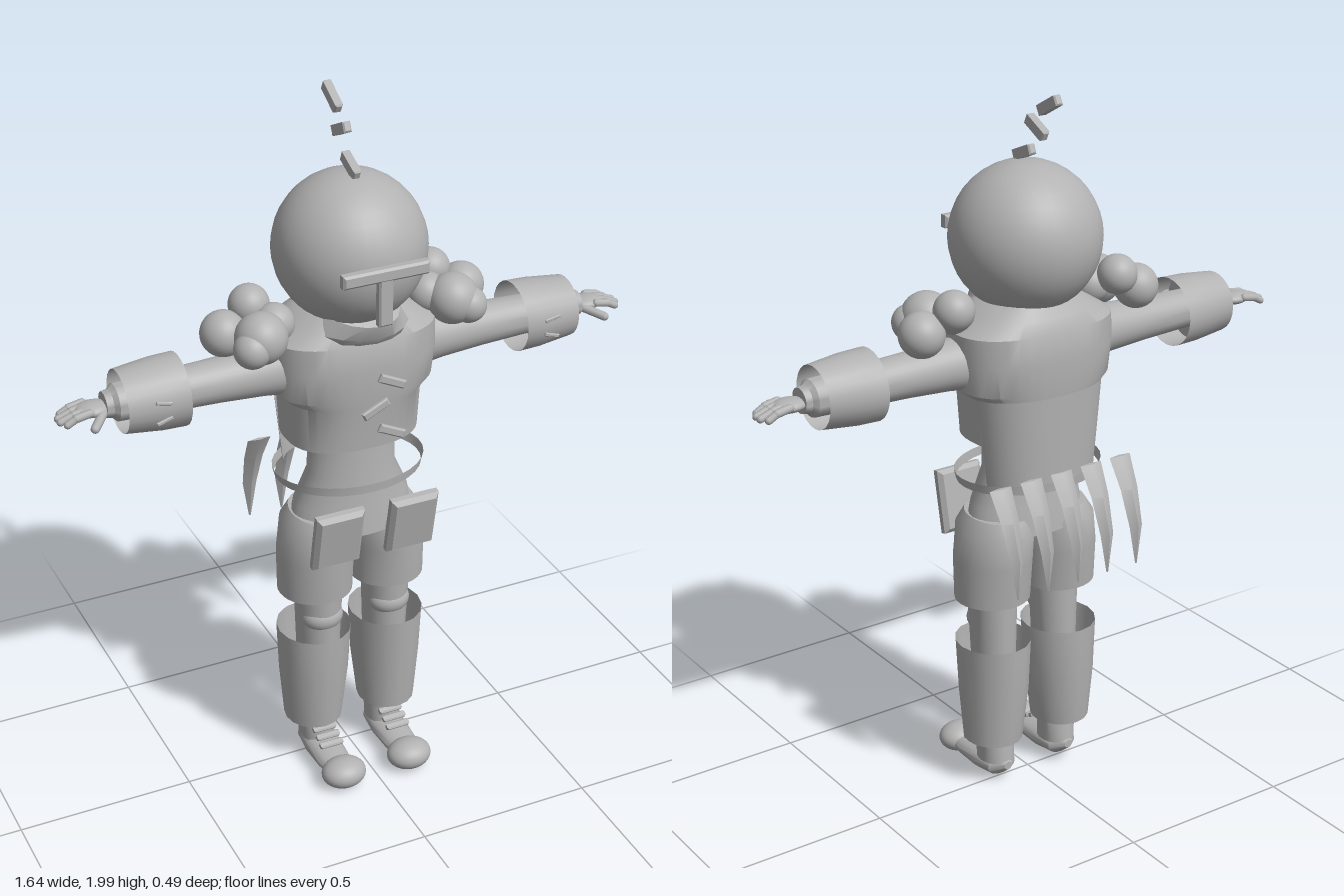
import * as THREE from 'three';
import { toCreasedNormals } from 'three/addons/utils/BufferGeometryUtils.js';

const grey = new THREE.MeshStandardMaterial({ color: 0xb2b2b2, side: THREE.DoubleSide });
grey.name = 'plain grey';

function add(parent, name, geometry, pos = [0, 0, 0], rot = [0, 0, 0], scale = [1, 1, 1]) {
  const m = new THREE.Mesh(geometry, grey);
  m.name = name;
  m.position.set(...pos);
  m.rotation.set(...rot);
  m.scale.set(...scale);
  parent.add(m);
  return m;
}

const ball = (parent, name, r, pos, scale) =>
  add(parent, name, new THREE.SphereGeometry(r, 32, 20), pos, [0, 0, 0], scale);

// Stacked rounded sections, listed bottom to top as [y, rx, rz, cx, cz]
function loft(rings, { n = 32, power = 2, from = 0, sweep = Math.PI * 2, caps = true } = {}) {
  const pts = [], idx = [];
  const bend = (v) => Math.sign(v) * Math.abs(v) ** (2 / power);
  for (const [y, rx, rz, cx = 0, cz = 0] of rings)
    for (let i = 0; i <= n; i++) {
      const a = from + (sweep * i) / n;
      pts.push(cx + rx * bend(Math.sin(a)), y, cz + rz * bend(Math.cos(a)));
    }
  const w = n + 1;
  for (let r = 0; r < rings.length - 1; r++)
    for (let i = 0; i < n; i++) {
      const a = r * w + i, b = a + 1, c = a + w, d = c + 1;
      idx.push(a, b, d, a, d, c);
    }
  if (caps)
    for (const [r, flip] of [[0, true], [rings.length - 1, false]]) {
      const [y, , , cx = 0, cz = 0] = rings[r], centre = pts.length / 3;
      pts.push(cx, y, cz);
      for (let i = 0; i < n; i++) {
        const a = r * w + i;
        idx.push(centre, ...(flip ? [a + 1, a] : [a, a + 1]));
      }
    }
  const g = new THREE.BufferGeometry();
  g.setAttribute('position', new THREE.Float32BufferAttribute(pts, 3));
  g.setIndex(idx);
  return toCreasedNormals(g, 0.6);
}

// Box with a bevelled edge, centred
function bevelBox(w, h, d, b) {
  const s = new THREE.Shape();
  const x = w / 2 - b, y = h / 2 - b;
  s.moveTo(-x, -y).lineTo(x, -y).lineTo(x, y).lineTo(-x, y).closePath();
  const g = new THREE.ExtrudeGeometry(s, {
    depth: d - 2 * b, bevelSize: b, bevelThickness: b, bevelSegments: 1,
  });
  return g.translate(0, 0, -d / 2 + b);
}

// Round rod between two points
function rod(parent, name, a, b, r) {
  const p = new THREE.Vector3(...a), q = new THREE.Vector3(...b), dir = q.clone().sub(p);
  const m = add(parent, name, new THREE.CapsuleGeometry(r, dir.length(), 4, 10));
  m.position.copy(p).lerp(q, 0.5);
  m.quaternion.setFromUnitVectors(new THREE.Vector3(0, 1, 0), dir.normalize());
}

function buildHead(root) {
  const head = new THREE.Group();
  head.name = 'head';
  root.add(head);
  ball(head, 'helmet', 0.205, [0, 1.595, 0.01]);
  add(head, 'visorBar', bevelBox(0.24, 0.036, 0.03, 0.006), [0, 1.603, 0.22]);
  add(head, 'visorStem', bevelBox(0.04, 0.14, 0.026, 0.005), [0, 1.53, 0.219]);
  // chin guard wraps around the jaw
  add(head, 'chinGuard', loft([[1.385, 0.14, 0.15, 0, 0.025], [1.405, 0.145, 0.165, 0, 0.025],
    [1.445, 0.11, 0.175, 0, 0.025]], { n: 10, from: -1.6, sweep: 3.2, caps: false }));
  // zigzag antenna in three pieces
  for (const [y0, z0, y1, z1] of [[1.803, 0.055, 1.835, -0.022], [1.915, -0.002, 1.878, -0.078],
    [1.942, -0.055, 1.986, -0.135]])
    add(head, 'antennaPiece', bevelBox(0.022, 0.028, Math.hypot(y1 - y0, z1 - z0), 0.004),
      [0, (y0 + y1) / 2, (z0 + z1) / 2], [-Math.atan2(y0 - y1, z0 - z1), 0, 0]);
}

function buildTorso(root) {
  add(root, 'vest', loft([[1.06, 0.185, 0.145], [1.19, 0.192, 0.155], [1.215, 0.225, 0.158],
    [1.3, 0.237, 0.16], [1.375, 0.235, 0.155], [1.41, 0.18, 0.135], [1.46, 0.1, 0.1]],
  { n: 40, power: 2.5 }));
  add(root, 'vestBack', loft([[0.94, 0.172, 0.155], [1.06, 0.185, 0.158], [1.2, 0.2, 0.16]],
    { n: 20, power: 2.5, from: Math.PI / 2 + 0.25, sweep: Math.PI - 0.5, caps: false }));
  add(root, 'waist', loft([[0.78, 0.18, 0.115, 0, 0.015], [0.86, 0.165, 0.108, 0, 0.015],
    [0.95, 0.125, 0.095, 0, 0.018], [1.08, 0.12, 0.09, 0, 0.02]]));
  add(root, 'belt', loft([[0.934, 0.208, 0.163], [0.96, 0.215, 0.165]], { caps: false }));
  for (const [x, y, tilt] of [[0.028, 1.287, -0.45], [-0.018, 1.215, 0.45], [0.028, 1.14, -0.45]])
    add(root, 'chestTab', bevelBox(0.08, 0.024, 0.014, 0.004), [x, y, 0.21], [0, 0, tilt]);
  // pointed coat tails along the back of the belt
  for (let i = -2; i <= 2; i++)
    add(root, 'coatTail', loft([[0.69, 0.003, 0.003, 0, -0.236], [0.8, 0.021, 0.014, 0, -0.232],
      [0.9, 0.028, 0.014, 0, -0.199], [0.98, 0.034, 0.006, 0, -0.155]], { n: 4 }), [i * 0.098, 0, 0]);
}

function buildArm(side) {
  const arm = new THREE.Group();
  arm.name = side + 'Arm';
  // a loft laid on its side, so its height runs along x
  const along = (name, rings, opts) =>
    add(arm, name, loft(rings, opts), [0, 1.287, 0.012], [0, 0, -Math.PI / 2]);
  along('sleeve', [[0.18, 0.078, 0.075], [0.26, 0.068, 0.066], [0.38, 0.06, 0.06], [0.66, 0.05, 0.05]]);
  along('cuff', [[0.485, 0.098, 0.1], [0.55, 0.096, 0.098], [0.65, 0.085, 0.085]], { n: 24, caps: false });
  along('cuffWall', [[0.56, 0.05, 0.05], [0.561, 0.094, 0.096]], { n: 24, caps: false });
  along('wrist', [[0.645, 0.046, 0.046], [0.66, 0.05, 0.05], [0.672, 0.038, 0.038], [0.69, 0.034, 0.036]]);
  for (const a of [0.2, -0.3])
    add(arm, 'cuffStitch', bevelBox(0.045, 0.01, 0.008, 0.002), [0.56, 1.287 + a * 0.1, 0.108], [0, 0, a]);
  // hand
  ball(arm, 'palm', 0.04, [0.72, 1.283, 0.012], [1.2, 0.45, 0.95]);
  for (let i = 0; i < 4; i++) {
    const z = -0.02 + i * 0.021, tip = i === 0 || i === 3 ? 0.796 : 0.808;
    rod(arm, 'fingerBase', [0.735, 1.288, z], [0.772, 1.281, z], 0.011);
    rod(arm, 'fingerTip', [0.772, 1.281, z], [tip, 1.268, z], 0.01);
  }
  rod(arm, 'thumb', [0.7, 1.278, 0.04], [0.738, 1.265, 0.085], 0.012);
  // cluster of shoulder balls
  for (const [r, ...pos] of [[0.055, 0.262, 1.455, -0.045], [0.07, 0.275, 1.41, 0.065],
    [0.062, 0.345, 1.4, -0.02], [0.055, 0.22, 1.42, 0.02], [0.05, 0.31, 1.395, 0.09]])
    ball(arm, 'shoulderBall', r, pos);
  return arm;
}

function buildLeg(side) {
  const leg = new THREE.Group();
  leg.name = side + 'Leg';
  add(leg, 'thigh', loft([[0.58, 0.105, 0.105, 0.109, 0.015], [0.7, 0.106, 0.118, 0.107, 0.014],
    [0.79, 0.1, 0.125, 0.1, 0.014], [0.83, 0.08, 0.105, 0.095, 0.014]]));
  add(leg, 'knee', loft([[0.1, 0.05, 0.052, 0.103, 0.01], [0.4, 0.06, 0.07, 0.103, 0.02],
    [0.62, 0.068, 0.078, 0.103, 0.025]]));
  ball(leg, 'kneePad', 0.06, [0.103, 0.5, 0.05], [1, 0.75, 0.85]);
  add(leg, 'shinGuard', loft([[0.145, 0.082, 0.088, 0.115, 0.008], [0.3, 0.097, 0.105, 0.112, 0.008],
    [0.45, 0.104, 0.112, 0.111, 0.01]], { n: 16, caps: false }));
  // pouch hanging off the belt
  add(leg, 'pouch', bevelBox(0.14, 0.18, 0.04, 0.012), [0.11, 0.82, 0.168], [0.2, 0, 0]);
  // shoe
  add(leg, 'shoe', loft([[-0.055, 0.012, 0.012, 0, 0.065], [-0.02, 0.046, 0.03, 0, 0.055],
    [0.05, 0.052, 0.034, 0, 0.05], [0.13, 0.048, 0.027, 0, 0.046], [0.2, 0.035, 0.02, 0, 0.046]],
  { n: 24 }), [0.105, 0, 0], [Math.PI / 2, 0, 0], [1, 1, -1]);
  ball(leg, 'toeCap', 0.06, [0.103, 0.048, 0.193], [1.08, 0.7, 0.92]);
  add(leg, 'ankle', loft([[0.07, 0.05, 0.06, 0.105, 0.01], [0.15, 0.055, 0.052, 0.105, 0.01]]));
  for (let i = 0; i < 3; i++)
    add(leg, 'lace', bevelBox(0.07, 0.012, 0.02, 0.004), [0.105, 0.117 - i * 0.012, 0.065 + i * 0.024], [0.45, 0, 0]);
  return leg;
}

export function createModel() {
  const root = new THREE.Group();
  root.name = 'armouredFigure';
  buildHead(root);
  buildTorso(root);
  for (const build of [buildArm, buildLeg]) {
    const right = build('right');
    right.scale.x = -1;
    root.add(build('left'), right);
  }
  return root;
}
